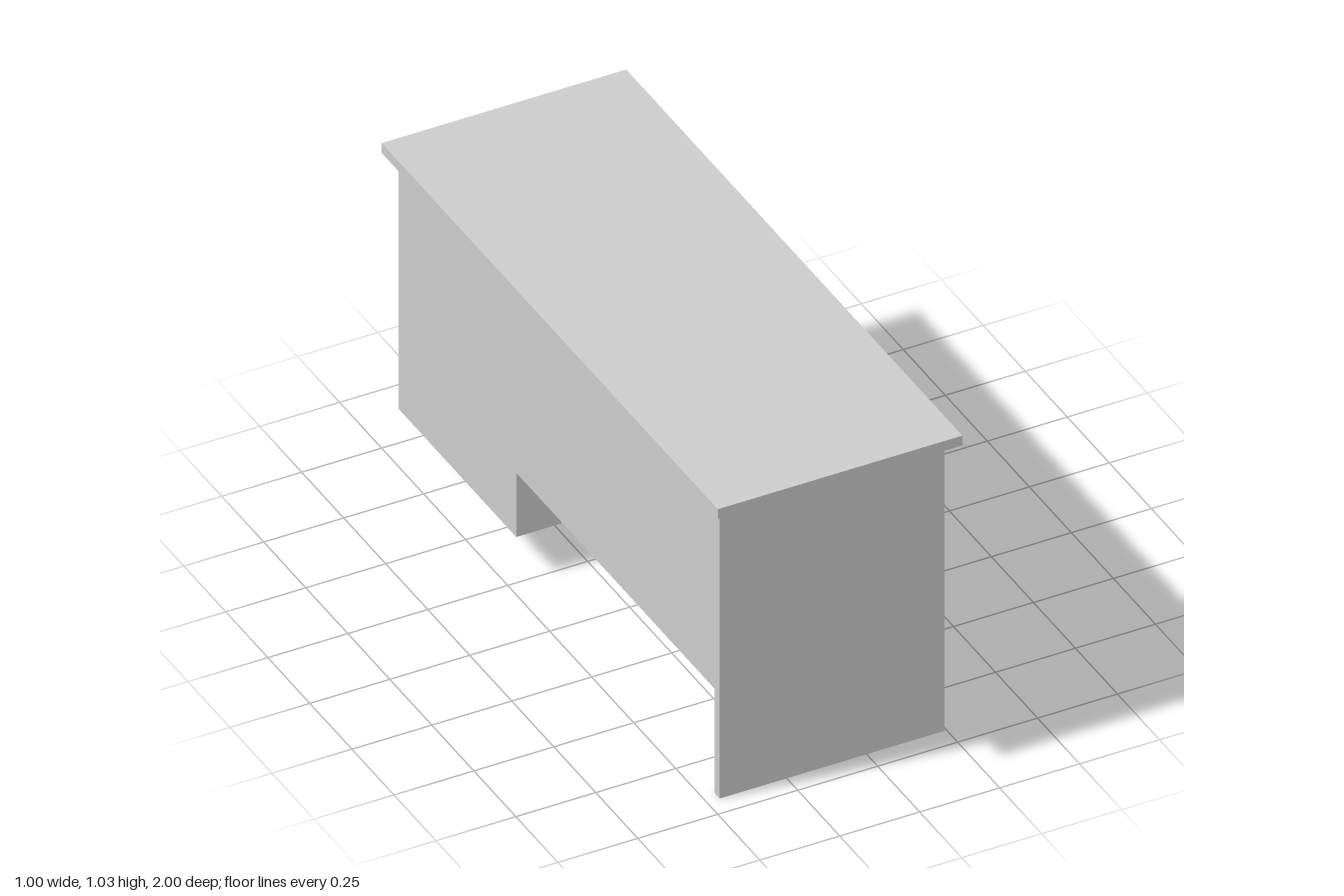
import * as THREE from 'three';

const material = new THREE.MeshStandardMaterial({ color: 0xcccccc });

// Box given by its limits on each axis
function slab(parent, name, [x0, x1], [y0, y1], [z0, z1]) {
  const mesh = new THREE.Mesh(new THREE.BoxGeometry(x1 - x0, y1 - y0, z1 - z0), material);
  mesh.position.set((x0 + x1) / 2, (y0 + y1) / 2, (z0 + z1) / 2);
  mesh.name = name;
  parent.add(mesh);
  return mesh;
}

// Square foot that tapers and leans from its top centre to its bottom centre
function taperedFoot(parent, name, top, bottom, topSize, bottomSize) {
  const geometry = new THREE.BoxGeometry(1, 1, 1);
  const p = geometry.attributes.position;
  for (let i = 0; i < p.count; i++) {
    const [c, s] = p.getY(i) > 0 ? [top, topSize] : [bottom, bottomSize];
    p.setXYZ(i, c[0] + p.getX(i) * s, c[1], c[2] + p.getZ(i) * s);
  }
  geometry.computeVertexNormals();
  const mesh = new THREE.Mesh(geometry, material);
  mesh.name = name;
  parent.add(mesh);
}

// Bar handle on two tapered posts; origin on the drawer face
function makeHandle() {
  const handle = new THREE.Group();
  handle.name = 'handle';
  for (const side of [-1, 1]) {
    const geometry = new THREE.CylinderGeometry(0.006, 0.01, 0.026, 8);
    geometry.rotateZ(-Math.PI / 2);
    const post = new THREE.Mesh(geometry, material);
    post.position.set(0.013, 0, side * 0.056);
    post.name = 'handlePost';
    handle.add(post);
  }
  slab(handle, 'handleBar', [0.019, 0.027], [-0.006, 0.006], [-0.062, 0.062]);
  return handle;
}

// Drawer with open-topped box; y is the bottom of its front, pull is how far it is open
function makeDrawer(name, y, pull) {
  const drawer = new THREE.Group();
  drawer.name = name;
  const back = -0.38, face = 0.247, inner = 0.232;
  const z = [-0.95, -0.312], h = [0.021, 0.201];
  slab(drawer, 'drawerFront', [inner, face], [0.001, 0.227], [-0.973, -0.288]);
  slab(drawer, 'drawerFloor', [back, inner], [h[0], h[0] + 0.01], z);
  slab(drawer, 'drawerSide', [back, inner], h, [z[0], z[0] + 0.012]);
  slab(drawer, 'drawerSide', [back, inner], h, [z[1] - 0.012, z[1]]);
  slab(drawer, 'drawerBack', [back, back + 0.012], h, z);
  slab(drawer, 'drawerInnerFront', [inner - 0.014, inner], h, z);
  const handle = makeHandle();
  handle.position.set(face, 0.118, -0.632);
  drawer.add(handle);
  drawer.position.set(pull, y, 0);
  return drawer;
}

export function createModel() {
  const desk = new THREE.Group();
  desk.name = 'desk';
  const front = 0.243, back = -0.46, inside = -0.44;

  // Top, end panel and shelf in the knee space
  slab(desk, 'desktop', [-0.5, 0.265], [0.997, 1.03], [-1, 1]);
  slab(desk, 'endPanel', [back, front], [0, 0.997], [0.905, 0.935]);
  slab(desk, 'shelf', [inside, -0.16], [0.392, 0.413], [-0.275, 0.905]);

  // Stepped back panel, shared by the cabinet and the knee space
  const outline = new THREE.Shape([
    [0.975, 0.135], [0.275, 0.135], [0.275, 0.352],
    [-0.905, 0.352], [-0.905, 0.997], [0.975, 0.997],
  ].map(([a, b]) => new THREE.Vector2(a, b)));
  const panel = new THREE.ExtrudeGeometry(outline, { depth: inside - back, bevelEnabled: false });
  panel.rotateY(Math.PI / 2);
  panel.translate(back, 0, 0);
  const backPanel = new THREE.Mesh(panel, material);
  backPanel.name = 'backPanel';
  desk.add(backPanel);

  // Cabinet shell with an open compartment above the drawers
  const cabinet = new THREE.Group();
  cabinet.name = 'cabinet';
  desk.add(cabinet);
  const depth = [inside, front], width = [-0.963, -0.288];
  slab(cabinet, 'cabinetSide', depth, [0.135, 0.997], [-0.288, -0.275]);
  slab(cabinet, 'cabinetSide', depth, [0.135, 0.997], [-0.975, -0.963]);
  slab(cabinet, 'cabinetBottom', depth, [0.135, 0.149], width);
  slab(cabinet, 'compartmentFloor', depth, [0.806, 0.819], width);
  slab(cabinet, 'compartmentTop', depth, [0.989, 0.997], width);

  // Two closed drawers and the open bottom one
  desk.add(makeDrawer('upperDrawer', 0.592, 0));
  desk.add(makeDrawer('middleDrawer', 0.363, 0));
  desk.add(makeDrawer('openDrawer', 0.134, 0.223));

  // Splayed feet under the cabinet
  for (const side of [-1, 1]) {
    taperedFoot(desk, 'foot', [-0.11 + side * 0.172, 0.136, -0.715],
      [-0.11 + side * 0.225, 0, -0.769], 0.08, 0.042);
  }
  return desk;
}
